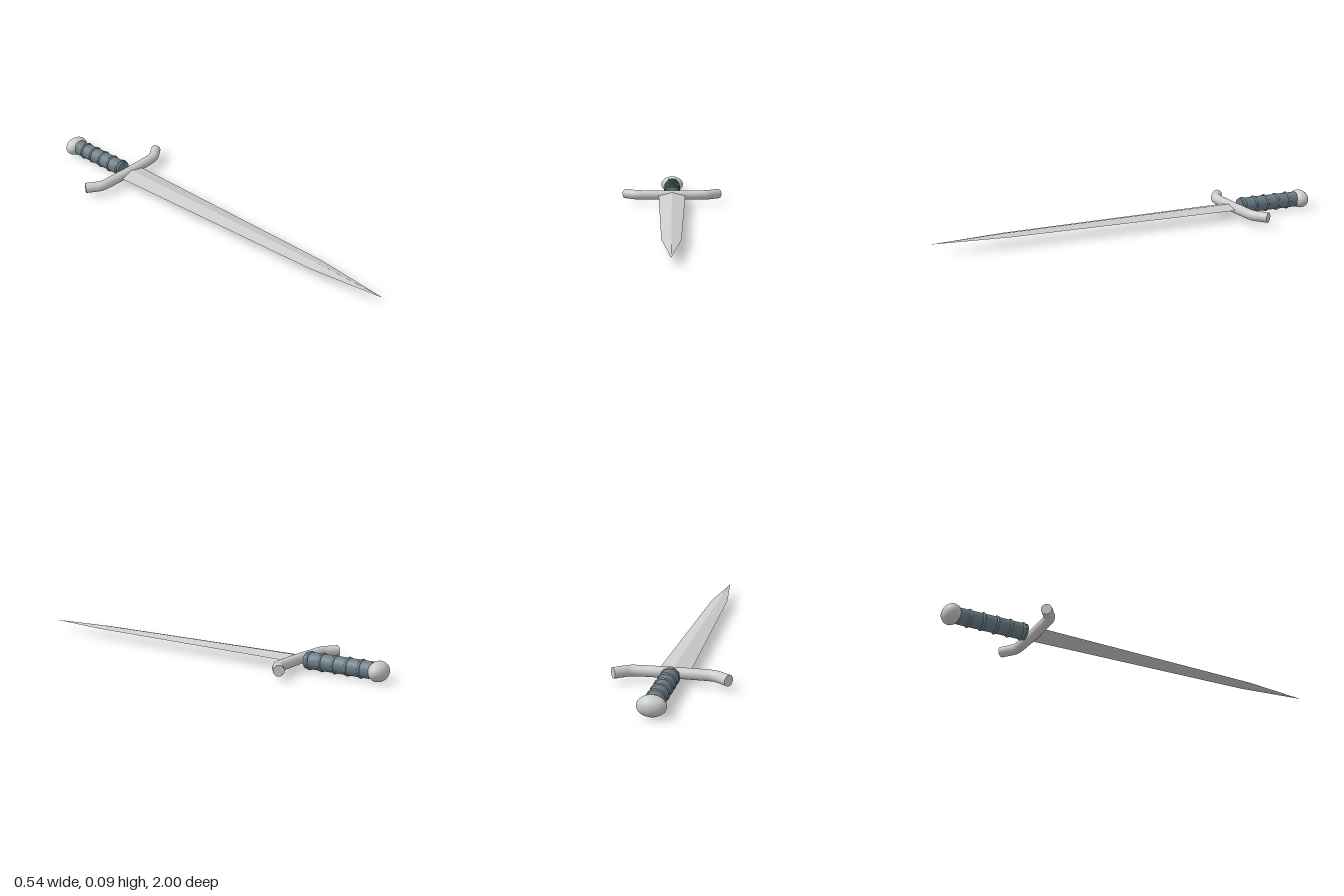
import * as THREE from 'three';

const steel = new THREE.MeshStandardMaterial({ color: 0xcccccc });
const steelFlat = new THREE.MeshStandardMaterial({ color: 0xcccccc, flatShading: true });
const wrap = new THREE.MeshStandardMaterial({ color: 0x6b7d86 });

const AXIS_Y = 0.047; // height of the sword's long axis

function add(parent, name, geometry, material) {
  const mesh = new THREE.Mesh(geometry, material);
  mesh.name = name;
  parent.add(mesh);
  return mesh;
}

// Diamond cross-sections [z, half width, half thickness] joined in loops
function bladeGeometry() {
  const sections = [
    [-0.56, 0.073, 0.017],
    [0.05, 0.058, 0.014],
    [0.65, 0.043, 0.01],
    [1.0, 0.001, 0.0005],
  ];
  const rings = sections.map(([z, w, h]) => [[w, 0, z], [0, h, z], [-w, 0, z], [0, -h, z]]);
  const points = [];
  const quad = (a, b, c, d) => points.push(...a, ...b, ...c, ...a, ...c, ...d);
  for (let s = 0; s < rings.length - 1; s++) {
    for (let i = 0; i < 4; i++) {
      const j = (i + 1) % 4;
      quad(rings[s][i], rings[s][j], rings[s + 1][j], rings[s + 1][i]);
    }
  }
  quad(...[...rings[0]].reverse());
  quad(...rings[rings.length - 1]);
  const geometry = new THREE.BufferGeometry();
  geometry.setAttribute('position', new THREE.Float32BufferAttribute(points, 3));
  geometry.computeVertexNormals();
  return geometry;
}

// Round bar with both arms swept back toward the grip
function buildGuard() {
  const guard = new THREE.Group();
  guard.name = 'crossguard';
  const radius = 0.0255;
  const half = [[0, -0.554], [0.09, -0.556], [0.175, -0.56], [0.197, -0.567], [0.226, -0.587], [0.256, -0.609]];
  const left = half.map(([x, z]) => new THREE.Vector3(x, 0, z));
  const right = half.slice(1).reverse().map(([x, z]) => new THREE.Vector3(-x, 0, z));
  const path = new THREE.CatmullRomCurve3([...right, ...left]);
  add(guard, 'guardBar', new THREE.TubeGeometry(path, 64, radius, 24), steel);
  for (const t of [0, 1]) {
    const cap = add(guard, 'guardEnd', new THREE.CircleGeometry(radius, 24), steel);
    const out = path.getTangent(t).multiplyScalar(t ? 1 : -1);
    cap.position.copy(path.getPoint(t));
    cap.quaternion.setFromUnitVectors(new THREE.Vector3(0, 0, 1), out);
  }
  return guard;
}

// Cylindrical grip with raised bands
function buildGrip() {
  const grip = new THREE.Group();
  grip.name = 'grip';
  const front = -0.596, back = -0.93;
  const core = add(grip, 'gripCore', new THREE.CylinderGeometry(0.039, 0.039, front - back, 32), wrap);
  core.rotation.x = Math.PI / 2;
  core.position.z = (front + back) / 2;
  for (let i = 0; i < 5; i++) {
    const band = add(grip, 'gripBand', new THREE.TorusGeometry(0.0385, 0.006, 8, 32), wrap);
    band.position.z = -0.614 - i * 0.0655;
  }
  return grip;
}

export function createModel() {
  const sword = new THREE.Group();
  sword.name = 'sword';
  const body = new THREE.Group();
  body.name = 'swordBody';
  body.position.y = AXIS_Y;
  sword.add(body);

  add(body, 'blade', bladeGeometry(), steelFlat);
  body.add(buildGuard(), buildGrip());

  // Flattened ball pommel
  const pommel = add(body, 'pommel', new THREE.SphereGeometry(1, 32, 24), steel);
  pommel.scale.set(0.063, 0.046, 0.043);
  pommel.position.z = -0.957;

  return sword;
}
